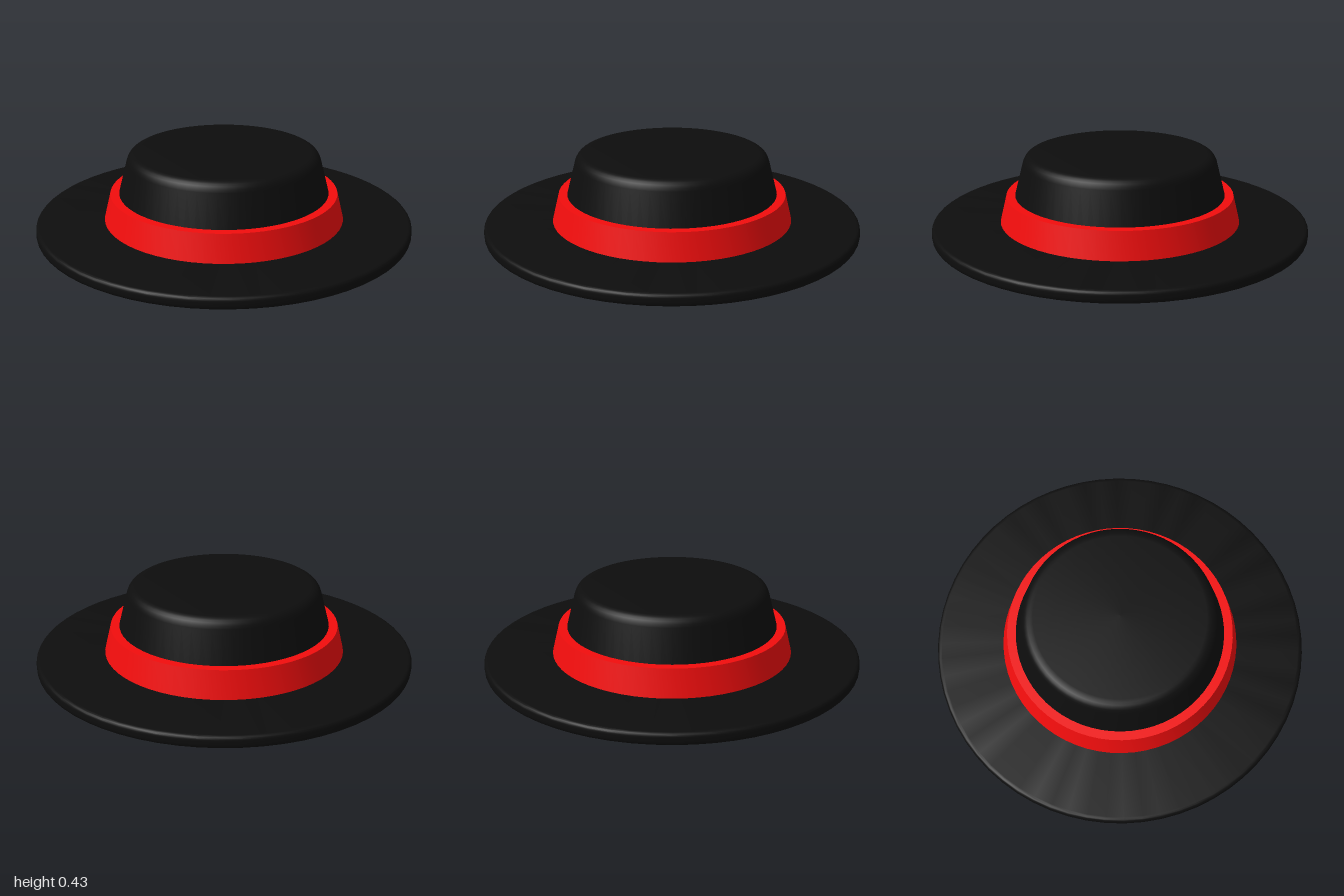
import * as THREE from 'three';
import { toCreasedNormals } from 'three/addons/utils/BufferGeometryUtils.js';

const SEGMENTS = 64;

// Revolve an outline, drawn from the bottom axis outwards and up, with crisp corners kept.
function turned(name, points, color) {
  const geometry = toCreasedNormals(new THREE.LatheGeometry(points, SEGMENTS), Math.PI / 6);
  const mesh = new THREE.Mesh(geometry, new THREE.MeshStandardMaterial({ color }));
  mesh.name = name;
  return mesh;
}

const v = (r, y) => new THREE.Vector2(r, y);

// Rounded corner from a to b, pulled towards c.
const corner = (a, c, b) => new THREE.QuadraticBezierCurve(a, c, b).getPoints(6);

export function createModel() {
  const hat = new THREE.Group();
  hat.name = 'hat';
  const black = 0x0d0d0d;
  const red = 0xf20d0d;

  // Flat disc brim with a softened rim
  hat.add(turned('brim', [
    v(0, 0),
    ...corner(v(0.975, 0), v(1, 0), v(1, 0.025)),
    ...corner(v(1, 0.04), v(1, 0.065), v(0.975, 0.065)),
    v(0, 0.065),
  ], black));

  // Tapered crown with a rounded top edge
  hat.add(turned('crown', [
    v(0.595, 0.06),
    ...corner(v(0.513, 0.38), v(0.5, 0.43), v(0.45, 0.43)),
    v(0, 0.43),
  ], black));

  // Ribbon band standing around the foot of the crown
  hat.add(turned('band', [
    v(0.58, 0.06),
    v(0.64, 0.06),
    v(0.604, 0.207),
    v(0.55, 0.207),
  ], red));

  return hat;
}
